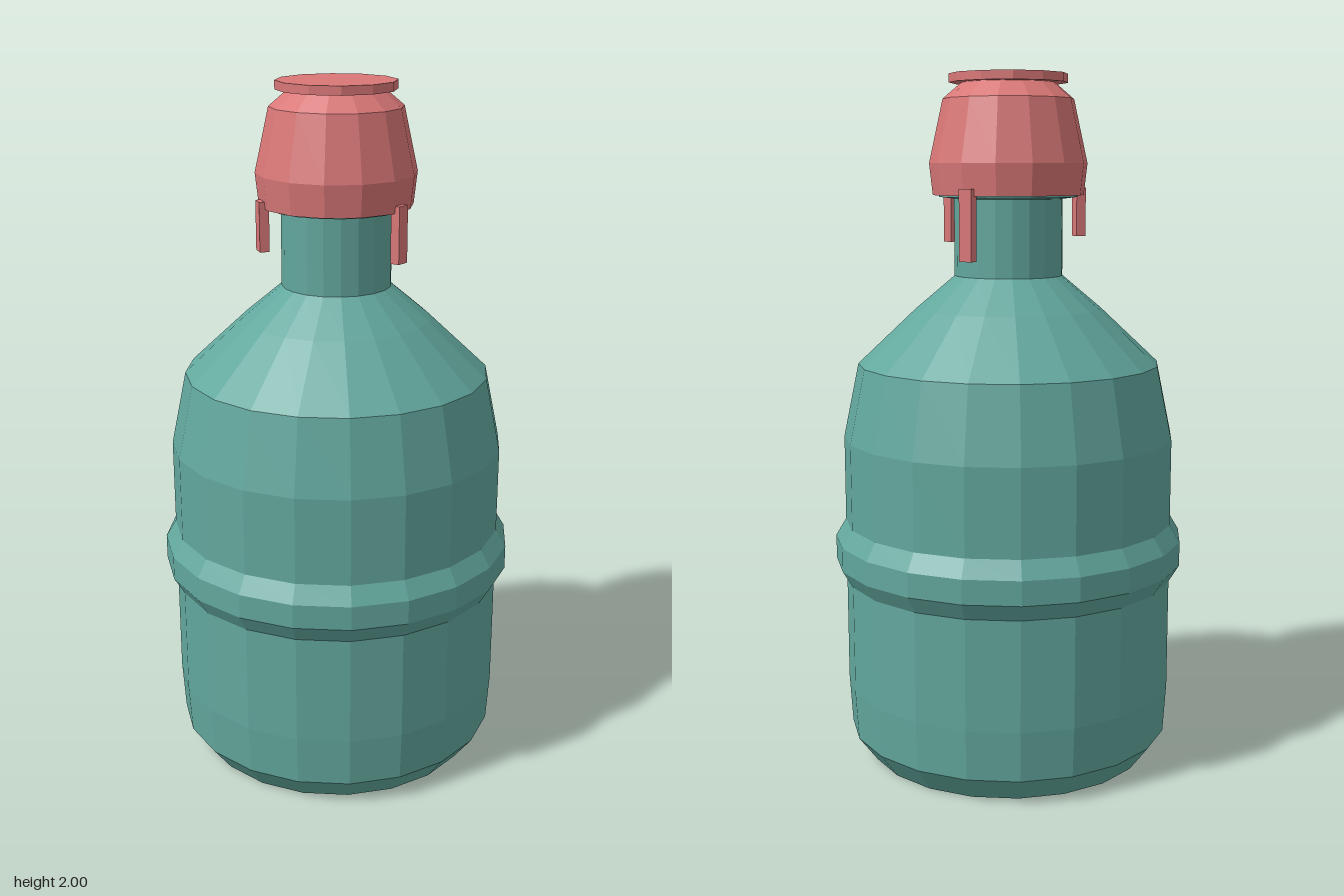
import * as THREE from 'three';

export function createModel() {
  const group = new THREE.Group();
  const glass = new THREE.MeshStandardMaterial({ color: 0x62a79d, flatShading: true });
  glass.name = 'teal glass';
  const red = new THREE.MeshStandardMaterial({ color: 0xd97777, flatShading: true });
  red.name = 'coral red';

  const add = (name, geometry, material) => {
    const mesh = new THREE.Mesh(geometry, material);
    mesh.name = name;
    group.add(mesh);
    return mesh;
  };
  // Faceted solid of revolution from [radius, height] pairs, bottom to top
  const turned = (name, profile, sides, material) =>
    add(name, new THREE.LatheGeometry(
      profile.map(([r, y]) => new THREE.Vector2(r, y)), sides, Math.PI / 2), material);

  // Bottle body with a raised belt and sloping shoulder
  turned('bottleBody', [
    [0, 0], [0.42, 0], [0.476, 0.075], [0.485, 0.22], [0.485, 0.54],
    [0.515, 0.59], [0.515, 0.66], [0.485, 0.71], [0.485, 0.96],
    [0.44, 1.175], [0.27, 1.335], [0.157, 1.43],
  ], 20, glass);

  // Neck, flaring into a lip under the cap
  turned('bottleNeck', [[0.157, 1.43], [0.157, 1.65], [0.2, 1.655], [0.2, 1.7], [0, 1.7]], 20, glass);

  // Cap skirt and its top button
  turned('cap', [
    [0.19, 1.675], [0.218, 1.66], [0.228, 1.75], [0.188, 1.93], [0.135, 1.975], [0, 1.975],
  ], 14, red);
  turned('capButton', [[0, 1.975], [0.17, 1.975], [0.17, 2], [0, 2]], 12, red);

  // Three tabs hanging from the cap rim: x, z, bottom height
  [[-0.21, 0.05, 1.54], [0.16, 0.145, 1.52], [0.125, -0.175, 1.48]].forEach(([x, z, bottom], i) => {
    const height = 1.68 - bottom;
    const tab = add('capTab' + (i + 1), new THREE.BoxGeometry(0.04, height, 0.028), red);
    tab.position.set(x, bottom + height / 2, z);
    tab.rotation.y = Math.atan2(x, z);
  });

  return group;
}
